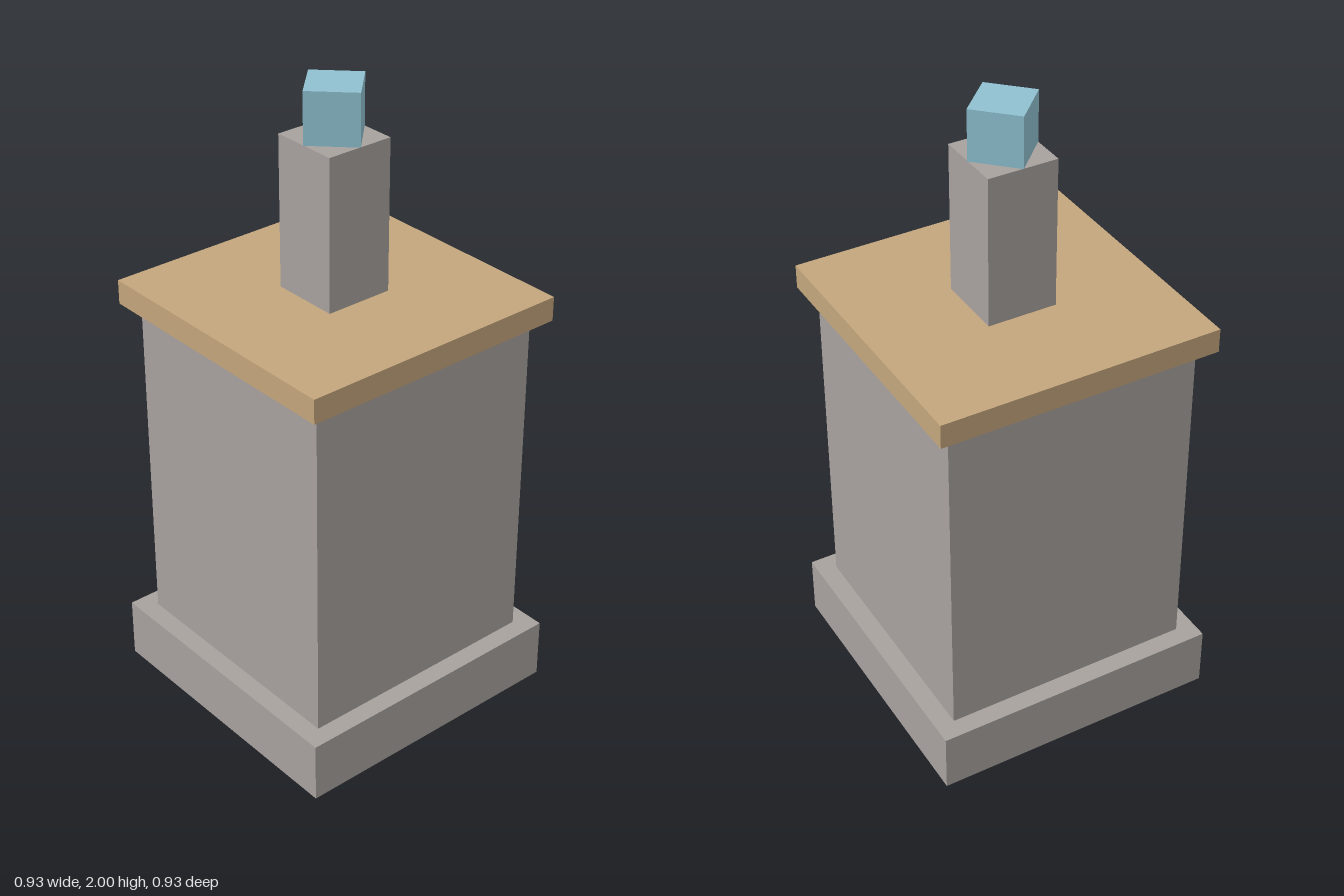
import * as THREE from 'three';

export function createModel() {
  const model = new THREE.Group();
  model.name = 'pedestal';

  const material = (name, color) => {
    const m = new THREE.MeshStandardMaterial({ color });
    m.name = name;
    return m;
  };
  const stone = material('warm grey stone', 0xa8a29e);
  const sandstone = material('tan slab', 0xc4a67c);
  const crystal = material('pale blue', 0x8fc1d1);

  // Square block, centred on the axis, between two heights
  const block = (name, width, bottom, top, mat, turn = 0) => {
    const mesh = new THREE.Mesh(new THREE.BoxGeometry(width, top - bottom, width), mat);
    mesh.name = name;
    mesh.position.y = (bottom + top) / 2;
    mesh.rotation.y = turn;
    model.add(mesh);
  };

  block('plinth', 0.925, 0, 0.195, stone);
  block('body', 0.804, 0.195, 1.285, stone);
  block('capSlab', 0.896, 1.285, 1.362, sandstone);
  block('post', 0.221, 1.362, 1.84, stone);
  // Cube set diagonally on the post
  block('topCube', 0.159, 1.84, 2, crystal, Math.PI / 4);

  return model;
}
